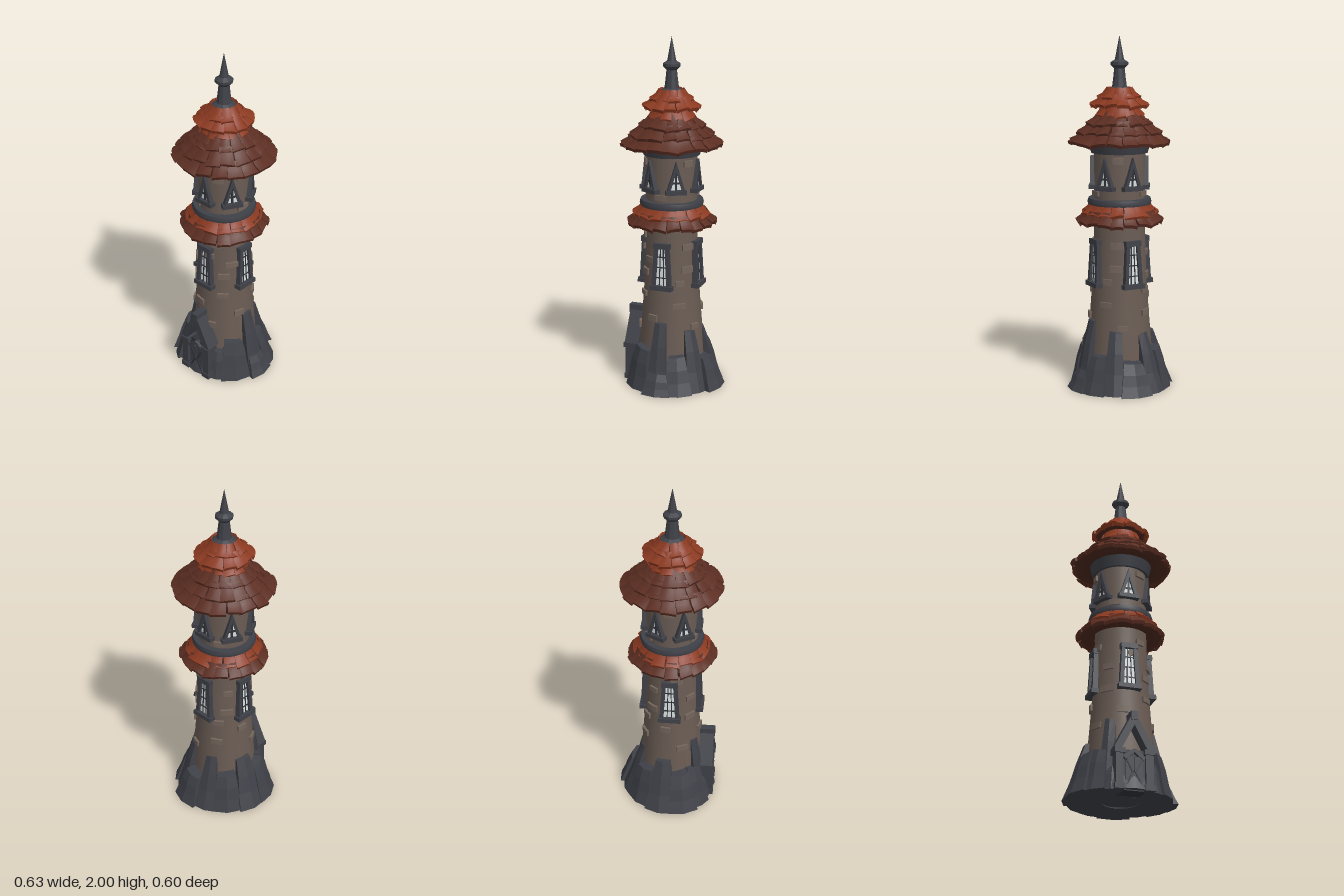
import * as THREE from 'three';
import { mergeGeometries } from 'three/addons/utils/BufferGeometryUtils.js';

const mat = (name, color, side = THREE.FrontSide) => {
  const m = new THREE.MeshStandardMaterial({ color, side });
  m.name = name;
  return m;
};
const stone = mat('stone', 0x6a5c54, THREE.DoubleSide);
const brick = mat('brick', 0x73655c);
const slate = mat('slate', 0x3f4148);
const darkSlate = mat('dark slate', 0x303238);
const tileRed = mat('bright roof tile', 0x8c3a21);
const tileBrown = mat('dark roof tile', 0x5c2e22);
const underside = mat('roof underside', 0x4c281e, THREE.DoubleSide);
const glass = mat('glass', 0xd9dfe0);

// seeded random in -1..1
let seed = 7;
const rnd = () => {
  seed = (seed * 16807) % 2147483647;
  return (seed / 2147483647) * 2 - 1;
};
const rad = THREE.MathUtils.degToRad;

function add(parent, name, geometry, material, x = 0, y = 0, z = 0) {
  const m = new THREE.Mesh(geometry, material);
  m.name = name;
  m.position.set(x, y, z);
  parent.add(m);
  return m;
}
const box = (parent, name, w, h, d, material, x, y, z) =>
  add(parent, name, new THREE.BoxGeometry(w, h, d), material, x, y, z);

// box bent around the y axis; shape(u, v, w) gives [angle, radius, height], u and v and w in -0.5..0.5
function bentBox(nu, nv, shape) {
  const g = new THREE.BoxGeometry(1, 1, 1, nu, nv, 1);
  const p = g.attributes.position;
  for (let i = 0; i < p.count; i++) {
    const [a, r, y] = shape(p.getX(i), p.getY(i), p.getZ(i));
    p.setXYZ(i, r * Math.sin(a), y, r * Math.cos(a));
  }
  g.computeVertexNormals();
  return g;
}

// beam from one point to another in a plane of constant z
function beam(parent, name, x0, y0, x1, y1, w, d, z, material) {
  const m = box(parent, name, w, Math.hypot(x1 - x0, y1 - y0), d, material, (x0 + x1) / 2, (y0 + y1) / 2, z);
  m.rotation.z = -Math.atan2(x1 - x0, y1 - y0);
}

const lathe = (points, n = 32) => new THREE.LatheGeometry(points.map(([r, y]) => new THREE.Vector2(r, y)), n);

// one ring of overlapping, slightly uneven tiles on a conical bed
function tileRow(parent, name, n, rTop, yTop, rLow, yLow, material, turn) {
  const tiles = [];
  for (let i = 0; i < n; i++) {
    const a = ((i + turn) / n) * Math.PI * 2 + rnd() * 0.02;
    const width = ((Math.PI * 2) / n) * (0.96 + rnd() * 0.03);
    const dr = rnd() * 0.007, dy = rnd() * 0.006, skew = rnd() * 0.008;
    tiles.push(bentBox(3, 2, (u, v, w) => {
      const t = 0.5 - v;
      const sag = 0.008 * Math.sin(t * Math.PI);
      const bow = 0.004 * (1 - 4 * u * u);
      return [
        a + u * width,
        rTop + (rLow - rTop) * t + dr * t + w * 0.008 - sag * 0.5,
        yTop + (yLow - yTop) * t + (dy + skew * u * 2) * t + w * 0.018 - sag + bow,
      ];
    }));
  }
  add(parent, name, mergeGeometries(tiles), material);
  add(parent, name + 'Bed', lathe([[rTop - 0.04, yLow + 0.008], [rLow - 0.015, yLow + 0.004],
    [rTop - 0.005, yTop - 0.008], [rTop - 0.04, yTop - 0.008]]), underside);
}

// tall window with leaning jambs
function tallWindow() {
  const g = new THREE.Group();
  const pane = new THREE.Shape([[-0.04, 0.61], [0.04, 0.61], [0.028, 0.84], [-0.028, 0.84]]
    .map(([x, y]) => new THREE.Vector2(x, y - 0.6)));
  add(g, 'pane', new THREE.ShapeGeometry(pane), glass, 0, 0, 0.003);
  box(g, 'sill', 0.13, 0.026, 0.05, slate, 0, 0.002, 0.002);
  box(g, 'lintel', 0.096, 0.03, 0.045, slate, 0, 0.245, 0);
  for (const s of [-1, 1]) {
    beam(g, 'jamb', s * 0.046, 0, s * 0.032, 0.24, 0.022, 0.036, 0, slate);
    beam(g, 'leadBar', s * 0.013, 0.01, s * 0.008, 0.24, 0.005, 0.008, 0.003, darkSlate);
  }
  for (const y of [0.06, 0.12, 0.18]) box(g, 'crossBar', 0.075, 0.006, 0.008, darkSlate, 0, y, 0.003);
  return g;
}

// triangular window
function gableWindow() {
  const g = new THREE.Group();
  const tri = (w, y0, y1) => [[-w, y0], [w, y0], [0, y1]].map(([x, y]) => new THREE.Vector2(x, y));
  const frame = new THREE.Shape(tri(0.054, 0, 0.178));
  frame.holes.push(new THREE.Path(tri(0.031, 0.018, 0.122)));
  add(g, 'frame', new THREE.ExtrudeGeometry(frame, { depth: 0.034, bevelEnabled: false }), slate, 0, 0, -0.016);
  add(g, 'pane', new THREE.ShapeGeometry(new THREE.Shape(tri(0.034, 0.01, 0.126))), glass, 0, 0, 0.003);
  box(g, 'sill', 0.118, 0.024, 0.045, slate, 0, 0.004, 0.002);
  box(g, 'mullion', 0.012, 0.11, 0.01, darkSlate, 0, 0.065, 0.004);
  box(g, 'crossBar', 0.05, 0.01, 0.01, darkSlate, 0, 0.056, 0.004);
  return g;
}

function placeAround(parent, name, count, make, radius, y, lean) {
  for (let i = 0; i < count; i++) {
    const a = (i / count) * Math.PI * 2;
    const g = make();
    g.name = name;
    g.rotation.order = 'YXZ';
    g.rotation.set(-lean, a, 0);
    g.position.set(radius * Math.sin(a), y, radius * Math.cos(a));
    parent.add(g);
  }
}

export function createModel() {
  const root = new THREE.Group();
  const tower = new THREE.Group();
  tower.name = 'tower';
  tower.position.z = 0.02;
  root.add(tower);

  // tapering shaft
  const wall = [[0.2, 0.02], [0.184, 0.25], [0.17, 0.42], [0.157, 0.6], [0.149, 0.8], [0.145, 0.95], [0.145, 1.37]];
  add(tower, 'shaft', lathe(wall), stone);
  const wallRadius = (y) => {
    const i = Math.max(1, wall.findIndex((p) => p[1] >= y));
    const [r0, y0] = wall[i - 1], [r1, y1] = wall[i];
    return r0 + ((r1 - r0) * (y - y0)) / (y1 - y0);
  };

  // scattered raised bricks
  const addBrick = (deg, y) => {
    const r = wallRadius(y), a = rad(deg), wide = (0.06 + rnd() * 0.012) / r, high = 0.034 + rnd() * 0.006;
    add(tower, 'raisedBrick', bentBox(3, 1, (u, v, w) =>
      [a + u * wide, r + w * 0.026 - 0.001, y + v * high]), brick);
  };
  for (let i = 0; i < 22; i++) {
    const y = 0.34 + (i / 22) * 0.57;
    const deg = i * 137.5 + 20;
    const off = Math.abs((((deg + 45) % 90) + 90) % 90 - 45);
    addBrick(y > 0.55 && y < 0.9 && off < 26 ? deg + 35 : deg, y);
  }
  for (let i = 0; i < 6; i++) addBrick(i * 60 + 30 + rnd() * 5, i % 2 ? 1.12 : 1.31);

  placeAround(tower, 'tallWindow', 4, tallWindow, 0.159, 0.6, 0.042);
  placeAround(tower, 'gableWindow', 6, gableWindow, 0.147, 1.15, 0);

  // collars
  add(tower, 'lowerCollar', lathe([[0.13, 1.055], [0.178, 1.055], [0.178, 1.055], [0.182, 1.07], [0.176, 1.09],
    [0.176, 1.09], [0.13, 1.09]]), slate);
  add(tower, 'upperCollar', lathe([[0.13, 1.345], [0.16, 1.345], [0.16, 1.345], [0.177, 1.41], [0.177, 1.41],
    [0.1, 1.41]]), slate);

  // lower skirt roof
  tileRow(tower, 'skirtLowerTiles', 20, 0.195, 1.015, 0.248, 0.952, tileBrown, 0.3);
  tileRow(tower, 'skirtUpperTiles', 17, 0.16, 1.065, 0.214, 1.0, tileRed, 0);

  // main roof, from the eaves up
  tileRow(tower, 'eavesTiles', 20, 0.215, 1.46, 0.285, 1.4, tileBrown, 0.1);
  tileRow(tower, 'middleTiles', 18, 0.16, 1.52, 0.237, 1.45, tileBrown, 0.4);
  tileRow(tower, 'upperTiles', 16, 0.11, 1.57, 0.187, 1.502, tileBrown, 0);
  tileRow(tower, 'neckTiles', 13, 0.1, 1.615, 0.135, 1.545, tileRed, 0.5);
  tileRow(tower, 'capLowerTiles', 14, 0.098, 1.665, 0.16, 1.607, tileRed, 0.2);
  tileRow(tower, 'capUpperTiles', 11, 0.068, 1.7, 0.118, 1.648, tileRed, 0.6);
  add(tower, 'roofCore', new THREE.CylinderGeometry(0.07, 0.17, 0.29, 24), underside, 0, 1.55, 0);

  // spire
  const spire = lathe([[0.072, 1.68], [0.068, 1.7], [0.042, 1.715], [0.036, 1.76], [0.03, 1.815], [0.05, 1.835],
    [0.05, 1.85], [0.026, 1.865], [0.0, 2.0]], 10).toNonIndexed();
  spire.computeVertexNormals();
  add(tower, 'spire', spire, slate);

  // rock foot: [angle, angular width, foot radius, top radius, height]
  const rocks = [
    [90, 25, 0.285, 0.2, 0.41], [58, 36, 0.285, 0.235, 0.25], [32, 22, 0.265, 0.235, 0.19],
    [92, 30, 0.315, 0.265, 0.13], [118, 30, 0.305, 0.235, 0.22], [145, 26, 0.285, 0.2, 0.36],
    [171, 32, 0.322, 0.26, 0.19], [-160, 26, 0.3, 0.195, 0.34], [-132, 34, 0.3, 0.245, 0.24],
    [-100, 32, 0.315, 0.215, 0.32], [-72, 32, 0.318, 0.25, 0.24], [-48, 26, 0.295, 0.235, 0.25],
    [-36, 22, 0.25, 0.19, 0.43], [-28, 18, 0.265, 0.235, 0.15],
  ];
  for (const [deg, width, rFoot, rTop, h] of rocks) {
    const tilt = rnd() * 0.02;
    const g = bentBox(2, 3, (u, v, w) => {
      const t = v + 0.5;
      const outer = rFoot + (rTop - rFoot) * Math.pow(t, 0.8) - (t > 0.99 ? 0.01 : 0) - 0.012 * Math.abs(u);
      const y = t * (h + tilt * u - (w > 0 ? 0.015 : 0));
      return [rad(deg + u * width * (1.06 - 0.22 * t)), w > 0 ? outer : 0.1, y];
    }).toNonIndexed();
    g.computeVertexNormals();
    add(tower, 'rock', g, slate);
  }
  add(tower, 'rockCore', new THREE.CylinderGeometry(0.21, 0.265, 0.17, 14), slate, 0, 0.09, 0);

  // gabled doorway
  const porch = new THREE.Group();
  porch.name = 'doorway';
  tower.add(porch);
  box(porch, 'doorBacking', 0.13, 0.22, 0.1, darkSlate, 0, 0.11, 0.18);
  for (const s of [-1, 1]) {
    box(porch, 'pillar', 0.042, 0.2, 0.06, slate, s * 0.082, 0.1, 0.222);
    box(porch, 'pillarFoot', 0.056, 0.03, 0.072, slate, s * 0.082, 0.015, 0.222);
    box(porch, 'pillarCap', 0.058, 0.028, 0.076, slate, s * 0.082, 0.207, 0.222);
    beam(porch, 'gableBeam', s * 0.094, 0.215, 0, 0.395, 0.038, 0.085, 0.21, slate);
    box(porch, 'doorLeaf', 0.046, 0.17, 0.012, slate, s * 0.025, 0.095, 0.236);
    beam(porch, 'doorBrace', s * 0.044, 0.02, s * 0.008, 0.095, 0.009, 0.008, 0.244, darkSlate);
    beam(porch, 'doorBrace', s * 0.008, 0.095, s * 0.044, 0.17, 0.009, 0.008, 0.244, darkSlate);
    beam(porch, 'doorArch', s * 0.055, 0.17, 0, 0.215, 0.02, 0.03, 0.235, slate);
  }
  box(porch, 'ridgeBlock', 0.04, 0.05, 0.1, slate, 0, 0.405, 0.208);
  return root;
}
